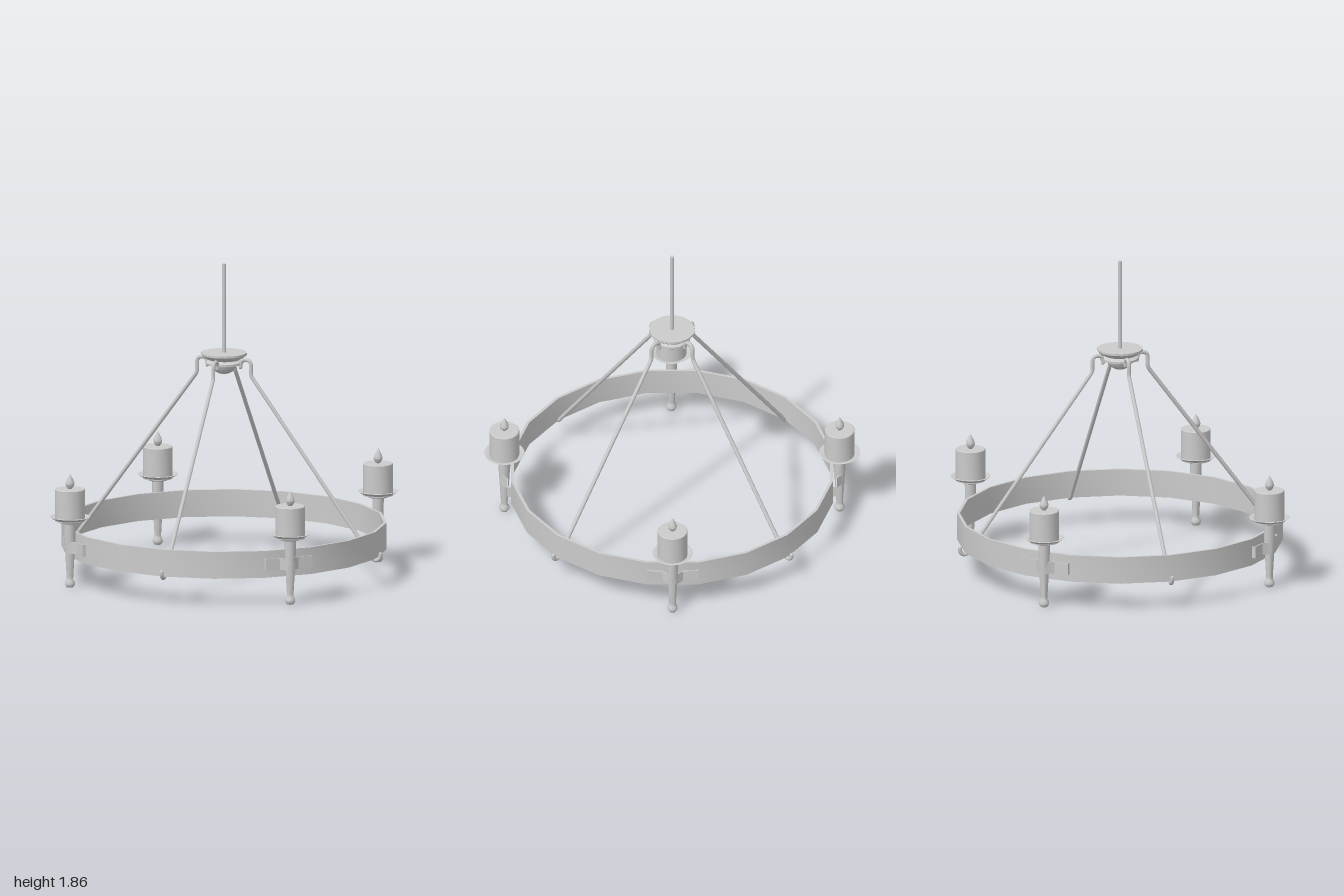
import * as THREE from 'three';
import { toCreasedNormals } from 'three/addons/utils/BufferGeometryUtils.js';

const material = new THREE.MeshStandardMaterial({ color: 0xcccccc, side: THREE.DoubleSide });

function add(parent, geometry, name) {
  const mesh = new THREE.Mesh(geometry, material);
  mesh.name = name;
  parent.add(mesh);
  return mesh;
}

// Revolve [radius, height] points, listed from bottom to top on the outside
function lathe(points, sides) {
  const profile = points.map(([r, y]) => new THREE.Vector2(r, y));
  return toCreasedNormals(new THREE.LatheGeometry(profile, sides), 0.7);
}

// Hanging rod in the x-y plane: crook at the canopy, long slope, hook under the ring
function makeRod() {
  const rod = new THREE.Group();
  rod.name = 'hangingRod';
  const v = (x, y) => new THREE.Vector3(x, y, 0);
  const path = new THREE.CurvePath();
  const line = (a, b) => path.add(new THREE.LineCurve3(a, b));
  const bend = (a, b, c) => path.add(new THREE.QuadraticBezierCurve3(a, b, c));
  bend(v(0.105, 1.25), v(0.105, 1.295), v(0.135, 1.295));
  bend(v(0.135, 1.295), v(0.17, 1.297), v(0.17, 1.26));
  line(v(0.17, 1.26), v(0.17, 1.215));
  bend(v(0.17, 1.215), v(0.171, 1.2), v(0.18, 1.188));
  line(v(0.18, 1.188), v(0.915, 0.196));
  bend(v(0.915, 0.196), v(0.933, 0.16), v(0.955, 0.157));
  bend(v(0.955, 0.157), v(0.988, 0.157), v(0.988, 0.198));
  add(rod, new THREE.TubeGeometry(path, 110, 0.012, 8), 'rod');
  for (const [x, y] of [[0.105, 1.25], [0.988, 0.196]]) {
    add(rod, new THREE.SphereGeometry(0.012, 8, 6), 'rodEnd').position.set(x, y, 0);
  }
  return rod;
}

// Candle holder, standing off the ring along +x
function makeCandle() {
  const candle = new THREE.Group();
  candle.name = 'candleHolder';
  const parts = {
    stem: lathe([[0, 0], [0.02, 0.004], [0.03, 0.02], [0.029, 0.036], [0.019, 0.052],
      [0.02, 0.07], [0.033, 0.3], [0.034, 0.4]], 12),
    dripPan: lathe([[0, 0.39], [0.06, 0.39], [0.12, 0.425], [0.112, 0.427], [0.06, 0.402], [0, 0.402]], 20),
    wax: lathe([[0, 0.4], [0.088, 0.4], [0.088, 0.588], [0.084, 0.592], [0, 0.592]], 20),
    flame: lathe([[0.008, 0.588], [0.022, 0.606], [0.027, 0.622], [0.02, 0.645], [0, 0.682]], 10),
  };
  for (const name in parts) add(candle, parts[name], name).position.x = 0.983;

  // Thin strap clipped to the ring and bowed out around the stem
  const half = [[0.94, 0.148], [0.966, 0.148], [0.968, 0.06], [0.99, 0.035], [1.005, 0.02]];
  const outer = [...half, ...half.map(([r, t]) => [r, -t]).reverse()];
  const inner = outer.map(([r, t]) => [r - 0.006, t * 0.96]).reverse();
  const shape = new THREE.Shape([...outer, ...inner].map(([r, t]) => new THREE.Vector2(r, t)));
  const strap = add(candle, new THREE.ExtrudeGeometry(shape, { depth: 0.07, bevelEnabled: false }), 'strap');
  strap.rotation.x = -Math.PI / 2;
  strap.position.y = 0.21;
  return candle;
}

export function createModel() {
  const model = new THREE.Group();
  model.name = 'chandelier';

  // Hoop
  add(model, lathe([[0.938, 0.165], [0.955, 0.165], [0.955, 0.325], [0.938, 0.325], [0.938, 0.165]], 20), 'ring');

  // Canopy with collar and dome below, and the ceiling stem above
  add(model, lathe([[0, 1.288], [0.09, 1.288], [0.115, 1.3], [0.135, 1.318], [0.135, 1.33], [0, 1.33]], 14), 'canopy');
  add(model, lathe([[0, 1.262], [0.108, 1.262], [0.108, 1.274], [0.07, 1.29]], 16), 'collar');
  add(model, lathe([[0, 1.203], [0.03, 1.207], [0.056, 1.221], [0.073, 1.241], [0.08, 1.264]], 16), 'dome');
  add(model, new THREE.CylinderGeometry(0.0125, 0.0125, 0.53, 10), 'ceilingStem').position.y = 1.595;

  // Four rods on the axes and four candles between them
  for (let i = 0; i < 4; i++) {
    const rod = makeRod();
    rod.rotation.y = i * Math.PI / 2;
    const candle = makeCandle();
    candle.rotation.y = (i + 0.5) * Math.PI / 2;
    model.add(rod, candle);
  }
  return model;
}
